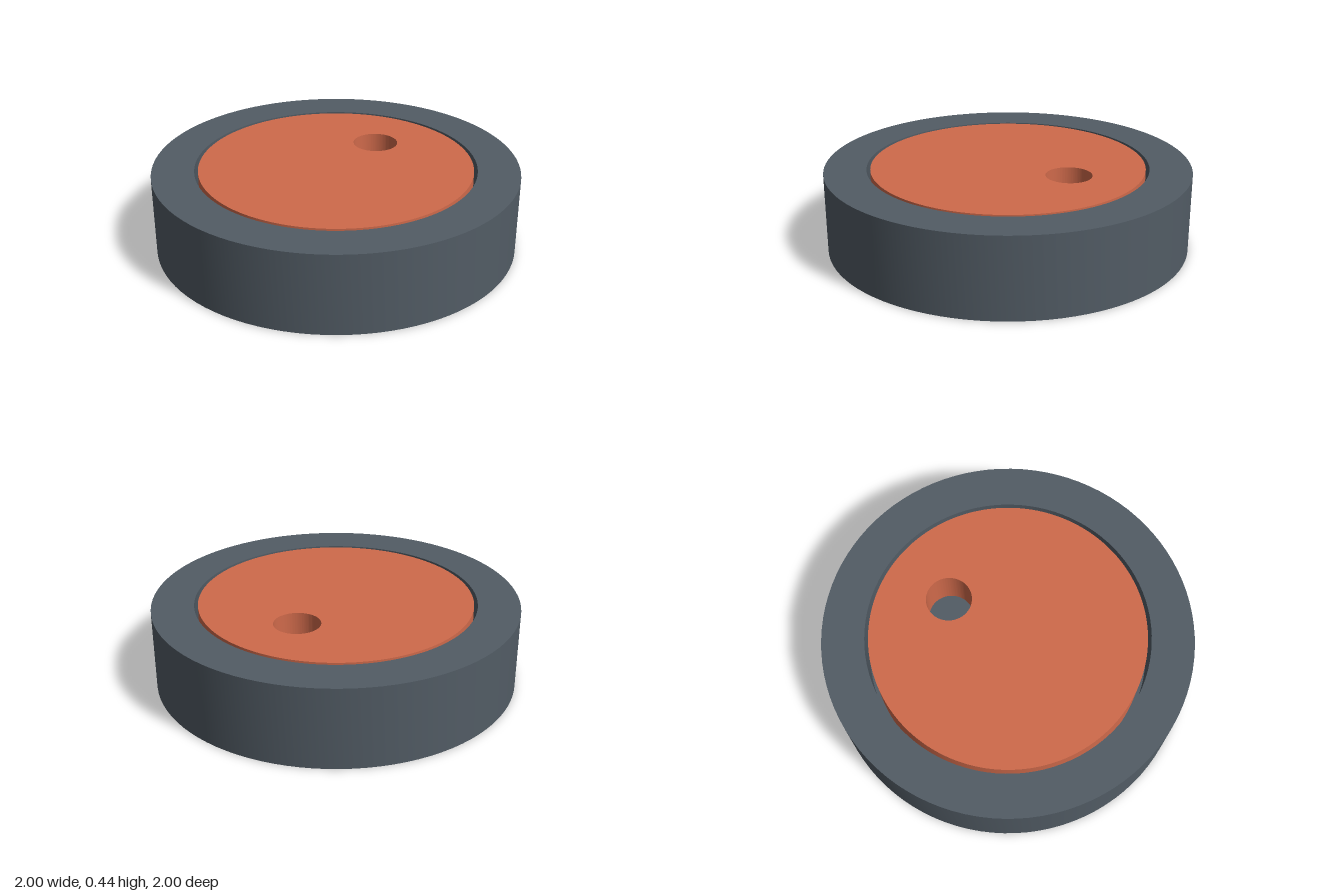
import * as THREE from 'three';
import { toCreasedNormals } from 'three/addons/utils/BufferGeometryUtils.js';

const SEGMENTS = 96;
const HEIGHT = 0.44;
const FLOOR = 0.19; // top of the floor inside the housing

function part(name, geometry, color) {
  const material = new THREE.MeshStandardMaterial({ color });
  const mesh = new THREE.Mesh(toCreasedNormals(geometry, Math.PI / 6), material);
  mesh.name = name;
  return mesh;
}

export function createModel() {
  const model = new THREE.Group();
  model.name = 'discInHousing';

  // Round housing with a shallow circular pocket in its top
  const profile = [
    [0, 0], [1, 0], [1, HEIGHT], [0.77, HEIGHT], [0.77, FLOOR], [0, FLOOR],
  ].map(([r, y]) => new THREE.Vector2(r, y));
  model.add(part('housing', new THREE.LatheGeometry(profile, SEGMENTS), 0x525c65));

  // Rotating disc, flush with the rim, with an off-centre through hole
  const outline = new THREE.Shape().absarc(0, 0, 0.75, 0, Math.PI * 2);
  outline.holes.push(new THREE.Path().absarc(0.375, 0, 0.125, 0, Math.PI * 2, true));
  const disc = new THREE.ExtrudeGeometry(outline, {
    depth: HEIGHT - FLOOR, bevelEnabled: false, curveSegments: SEGMENTS,
  });
  disc.rotateX(-Math.PI / 2);
  disc.translate(0, FLOOR, 0);
  model.add(part('disc', disc, 0xcf6a4b));

  return model;
}
